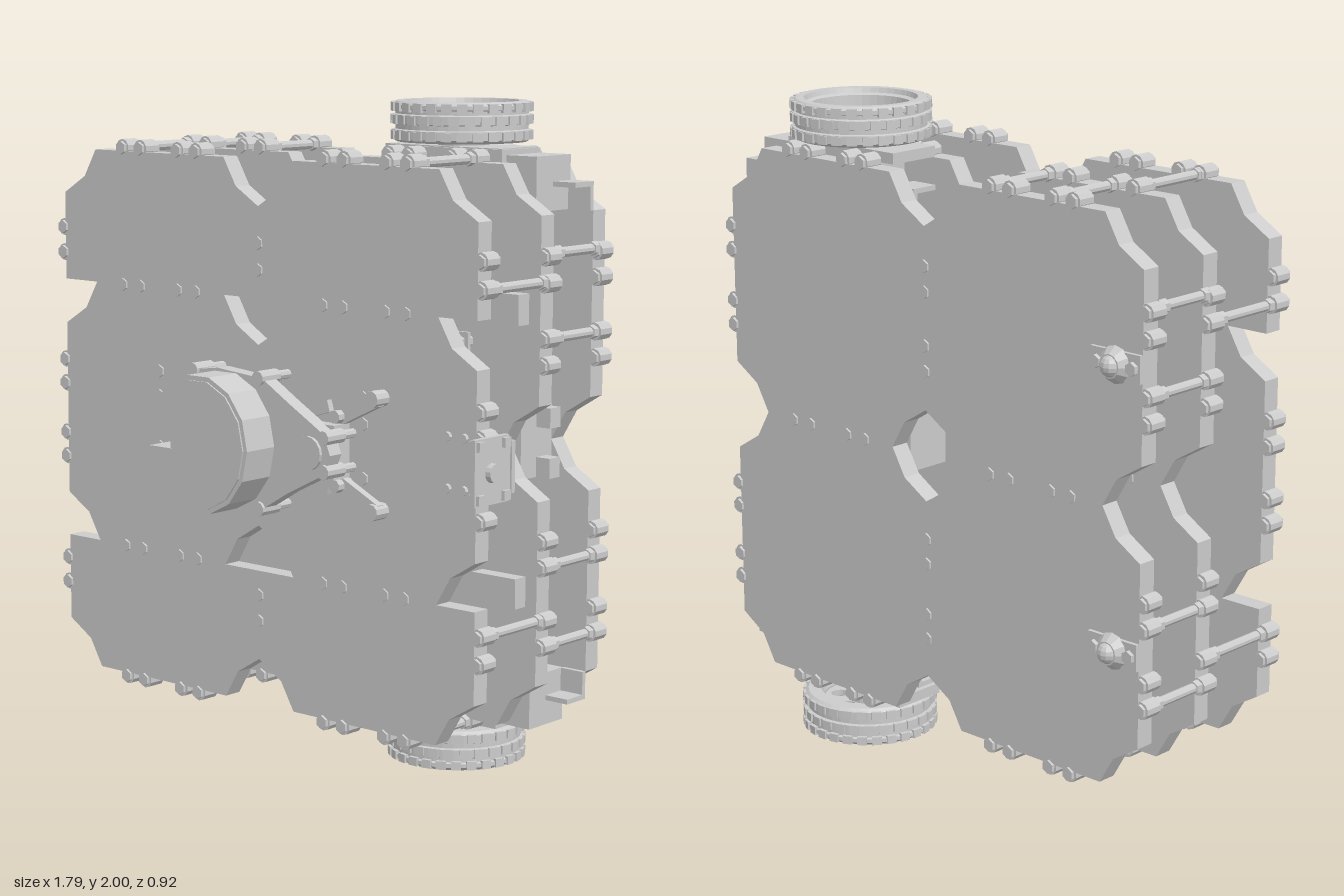
import * as THREE from 'three';

const mat = new THREE.MeshStandardMaterial({ color: 0xcccccc, flatShading: true, side: THREE.DoubleSide });
const CX = -0.03, CY = 1.0, T = 0.83;            // deck centre and tile size
const DECKS = { front: 0.14, middle: -0.15, back: -0.4 }, THICK = 0.06;

export function createModel() {
  const root = new THREE.Group();
  root.name = 'layeredRobot';

  const group = (name, parent = root) => {
    const g = new THREE.Group();
    g.name = name;
    parent.add(g);
    return g;
  };
  const add = (parent, name, geo, x = 0, y = 0, z = 0) => {
    const m = new THREE.Mesh(geo, mat);
    m.name = name;
    m.position.set(x, y, z);
    parent.add(m);
    return m;
  };
  // Box given by its extents
  const box = (parent, name, x0, x1, y0, y1, z0, z1) =>
    add(parent, name, new THREE.BoxGeometry(x1 - x0, y1 - y0, z1 - z0), (x0 + x1) / 2, (y0 + y1) / 2, (z0 + z1) / 2);
  // Cylinder along z between two depths
  const rod = (parent, name, x, y, z0, z1, r, sides = 12, r2 = r) =>
    add(parent, name, new THREE.CylinderGeometry(r2, r, z1 - z0, sides).rotateX(Math.PI / 2), x, y, (z0 + z1) / 2);
  // Outline extruded along z
  const slab = (parent, name, pts, z0, z1) =>
    add(parent, name, new THREE.ExtrudeGeometry(new THREE.Shape(pts.map(p => new THREE.Vector2(...p))),
      { depth: z1 - z0, bevelEnabled: false }), 0, 0, z0);

  // Deck tile: stepped corners, left square where a half tile was cut
  const tile = (parent, x0, x1, y0, y1, z, cutLow, cutHigh) => {
    const pts = [];
    const corner = (x, y, sx, sy, cut, flip) => {
      const c = cut ? [[x + sx * 0.14, y], [x + sx * 0.09, y + sy * 0.085], [x, y + sy * 0.14]] : [[x, y]];
      pts.push(...(flip ? c.reverse() : c));
    };
    corner(x0, y0, 1, 1, cutLow, true);
    corner(x1, y0, -1, 1, cutLow, false);
    corner(x1, y1, -1, -1, cutHigh, true);
    corner(x0, y1, 1, -1, cutHigh, false);
    slab(parent, 'deckTile', pts, z, z + THICK);
  };

  // Clamp joint on a deck edge or seam: round boss with hexagonal nuts
  const offsets = [-0.157, -0.08, 0.08, 0.157];
  const joint = (parent, x, y, z) => {
    rod(parent, 'edgeBoss', x, y, z + 0.002, z + THICK - 0.002, 0.027, 10);
    rod(parent, 'edgeNut', x, y, z - 0.008, z + THICK + 0.008, 0.021, 6);
  };
  const nut = (parent, x, y, z) => rod(parent, 'screwHead', x, y, z - 0.006, z + THICK + 0.006, 0.02, 6);

  const xL = CX - T - 0.008, xR = CX + T + 0.008, yB = CY - T - 0.01, yT = CY + T + 0.01;
  const tileX = [CX - T / 2, CX + T / 2];
  for (const [name, z] of Object.entries(DECKS)) {
    const deck = group(name + 'Deck');
    const isFront = name === 'front';
    // The front deck has a full middle row between two half rows
    const rows = isFront
      ? [[CY - T, CY - T / 2, true, false], [CY - T / 2, CY + T / 2, true, true], [CY + T / 2, CY + T, false, true]]
      : [[CY - T, CY, true, true], [CY, CY + T, true, true]];
    for (const [y0, y1, lo, hi] of rows)
      for (const cx of tileX) tile(deck, cx - T / 2, cx + T / 2, y0, y1, z, lo, hi);

    const edgeY = isFront
      ? [0.43, 0.51, ...offsets.map(o => CY + o), 1.5, 1.58]
      : [CY - T / 2, CY + T / 2].flatMap(c => offsets.map(o => c + o));
    for (const y of edgeY) {
      joint(deck, xL, y, z);
      joint(deck, xR, y, z);
      if (!isFront || Math.abs(y - CY) > 0.3) nut(deck, CX, y, z);
    }
    for (const cx of tileX) {
      for (const o of offsets) {
        joint(deck, cx + o, yB, z);
        joint(deck, cx + o, yT, z);
        for (const y of isFront ? [CY - T / 2, CY + T / 2] : [CY]) nut(deck, cx + o, y, z);
        if (isFront) nut(deck, cx, CY + o, z);
      }
    }
  }

  // Spacer posts between the decks
  const posts = group('spacerPosts');
  const post = (x, y, z0, z1) => {
    rod(posts, 'post', x, y, z0, z1, 0.015, 10);
    for (const z of [z0, z1 - 0.03]) rod(posts, 'postCollar', x, y, z, z + 0.03, 0.021, 6);
  };
  for (const x of [xL, xR]) {
    for (const y of [0.51, 1.5]) post(x, y, -0.1, 0.15);
    for (const y of [0.43, 0.667, 1.335, 1.58]) post(x, y, -0.35, -0.14);
  }
  for (const y of [yB, yT]) {
    for (const x of [-0.6, 0.542]) post(x, y, -0.1, 0.15);
    for (const x of [-0.525, -0.288]) post(x, y, -0.35, -0.14);
  }

  // Wheel and motor, built for the top and mirrored to the bottom
  const WX = 0.385, WZ = -0.245;
  const drive = (name, flip) => {
    const g = group(name);
    const wheel = group('wheel', g);
    wheel.position.set(WX, flip ? 0.06 : 1.94, WZ);
    if (flip) wheel.rotation.x = Math.PI;
    // Tyre with grooves and open rim
    const profile = [[0.155, -0.06], [0.195, -0.06], [0.207, -0.05], [0.207, -0.025], [0.198, -0.022], [0.198, -0.008],
      [0.207, -0.005], [0.207, 0.02], [0.198, 0.023], [0.198, 0.035], [0.207, 0.038], [0.207, 0.05], [0.195, 0.06],
      [0.17, 0.06], [0.165, 0.045], [0.15, 0.04], [0.145, -0.03], [0.155, -0.06]];
    add(wheel, 'tyre', new THREE.LatheGeometry(profile.map(p => new THREE.Vector2(...p)), 40));
    const teeth = 28;
    for (let row = 0; row < 3; row++) for (let i = 0; i < teeth; i++) {
      const a = (i + row * 0.5) / teeth * Math.PI * 2;
      const t = add(wheel, 'treadBlock', new THREE.BoxGeometry(0.012, 0.026, 0.03),
        Math.cos(a) * 0.206, [-0.04, 0.006, 0.043][row], Math.sin(a) * 0.206);
      t.rotation.y = -a;
    }
    // Rim disc with holes, ribs and hub
    const disc = new THREE.Shape().absarc(0, 0, 0.15, 0, Math.PI * 2);
    for (let i = 0; i < 6; i++) {
      const a = (i + 0.5) * Math.PI / 3;
      disc.holes.push(new THREE.Path().absarc(Math.cos(a) * 0.1, Math.sin(a) * 0.1, 0.027, 0, Math.PI * 2, true));
      const rib = add(wheel, 'rimRib', new THREE.BoxGeometry(0.1, 0.02, 0.016), Math.cos(i * Math.PI / 3) * 0.095, 0, Math.sin(i * Math.PI / 3) * 0.095);
      rib.rotation.y = -i * Math.PI / 3;
    }
    add(wheel, 'rimDisc', new THREE.ExtrudeGeometry(disc, { depth: 0.02, bevelEnabled: false, curveSegments: 14 })
      .rotateX(-Math.PI / 2), 0, -0.025, 0);
    add(wheel, 'hub', new THREE.CylinderGeometry(0.03, 0.035, 0.045, 12), 0, 0, 0);
    for (let i = 0; i < 4; i++)
      add(wheel, 'hubScrew', new THREE.CylinderGeometry(0.017, 0.017, 0.035, 8),
        Math.cos(i * Math.PI / 2) * 0.062, 0, Math.sin(i * Math.PI / 2) * 0.062);
    add(wheel, 'axleHorn', new THREE.CylinderGeometry(0.07, 0.07, 0.07, 20), 0, -0.055, 0);
    // Motor body and mounting brackets
    const span = (a, b) => flip ? [2 - b, 2 - a] : [a, b];
    box(g, 'motorBody', 0.3, 0.61, ...span(1.65, 1.865), -0.335, -0.15);
    box(g, 'motorCap', 0.61, 0.72, ...span(1.69, 1.85), -0.335, -0.17);
    box(g, 'motorMount', 0.16, 0.6, ...span(1.835, 1.868), -0.335, -0.16);
    for (const [x0, x1] of [[0.07, 0.16], [0.72, 0.8]]) {
      box(g, 'bracketTab', x0, x1, ...span(1.76, 1.775), -0.34, -0.25);
      box(g, 'bracketFoot', x0, x1, ...span(1.69, 1.775), -0.34, -0.325);
    }
  };
  drive('upperDrive', false);
  drive('lowerDrive', true);

  // Rotating scanner on its base
  const scanner = group('scanner');
  const LX = -0.035, LY = 1.005;
  slab(scanner, 'scannerBase', [[-0.19, 0.81], [-0.08, 0.795], [0.1, 0.81], [0.2, 0.87], [0.34, 0.94], [0.365, 1], [0.34, 1.06],
    [0.2, 1.14], [0.1, 1.2], [-0.08, 1.215], [-0.19, 1.2], [-0.235, 1.08], [-0.235, 0.93]], 0.275, 0.325);
  rod(scanner, 'turntable', LX, LY, 0.255, 0.34, 0.17, 24);
  const head = [];
  for (let i = -5; i <= 5; i++) head.push([LX + 0.195 * Math.cos(i * 0.45), LY + 0.208 * Math.sin(i * 0.45)]);
  head.push([-0.24, 1.1], [-0.24, 1.03], [-0.15, 1.03], [-0.15, 0.98], [-0.24, 0.98], [-0.24, 0.9]);
  slab(scanner, 'scannerHead', head, 0.338, 0.455);
  slab(scanner, 'headLip', head.map(([x, y]) => [LX + (x - LX) * 0.93, LY + (y - LY) * 0.93]), 0.325, 0.46);
  rod(scanner, 'drivePulley', 0.285, 1, 0.22, 0.335, 0.05, 16);
  box(scanner, 'scannerMotor', 0.2, 0.34, 0.92, 1.08, 0.21, 0.28);
  for (const [x, y] of [[-0.175, 1.2], [-0.175, 0.81], [0.09, 1.2], [0.09, 0.81], [0.345, 1.05], [0.345, 0.95]]) {
    rod(scanner, 'baseLug', x, y, 0.255, 0.335, 0.022, 10);
    rod(scanner, 'baseLeg', x, y, 0.2, 0.26, 0.014, 8);
  }
  for (const s of [-1, 1]) {
    const arm = group('supportArm', scanner);
    arm.position.set(0.355, 1 + s * 0.115, 0);
    arm.rotation.z = s * 0.45;
    box(arm, 'armPlate', -0.13, 0.12, -0.025, 0.025, 0.215, 0.24);
    rod(arm, 'armEnd', 0.115, 0, 0.2, 0.255, 0.025, 10);
    rod(arm, 'armScrew', -0.03, 0, 0.2, 0.265, 0.02, 8);
    const inner = box(scanner, 'armBrace', 0.11, 0.27, 1 + s * 0.1 - 0.018, 1 + s * 0.1 + 0.018, 0.2, 0.22);
    inner.rotation.z = s * 0.3;
  }

  // Side camera on an angled bracket
  const cam = group('camera');
  box(cam, 'bracketPlate', 0.68, 0.88, 0.93, 1.08, 0.125, 0.14);
  box(cam, 'bracketWall', 0.862, 0.874, 0.93, 1.08, 0.13, 0.2);
  box(cam, 'cameraBoard', 0.862, 0.878, 0.91, 1.1, 0.15, 0.305);
  rod(cam, 'lens', 0, 0, -0.02, 0.02, 0.028, 14).position.set(0.876, 1.0, 0.23);
  cam.children[3].rotation.y = Math.PI / 2;
  for (const y of [0.93, 1.08]) {
    for (const z of [0.17, 0.285]) box(cam, 'cameraScrew', 0.85, 0.89, y - 0.014, y + 0.014, z - 0.014, z + 0.014);
    for (const x of [0.7, 0.76]) rod(cam, 'bracketScrew', x, y, 0.115, 0.212, 0.014, 8);
  }

  // Ball casters on the back deck
  for (const y of [CY - T / 2, CY + T / 2]) {
    const c = group('ballCaster');
    box(c, 'casterPlate', -0.86, -0.68, y - 0.04, y + 0.04, -0.412, -0.4);
    rod(c, 'casterCup', -0.77, y, -0.437, -0.41, 0.035, 12, 0.055);
    add(c, 'ball', new THREE.SphereGeometry(0.032, 12, 8), -0.77, y, -0.428);
    for (const x of [-0.835, -0.705]) rod(c, 'casterScrew', x, y, -0.425, -0.405, 0.02, 6);
  }

  // Computer board with its sockets
  const pc = group('computerBoard');
  box(pc, 'board', -0.61, -0.24, 0.65, 1.21, -0.045, -0.033);
  for (const [x0, x1] of [[-0.58, -0.48], [-0.455, -0.365], [-0.335, -0.24]]) box(pc, 'socket', x0, x1, 0.645, 0.79, -0.035, 0.085);
  for (let i = 0; i < 18; i++) for (const x of [-0.595, -0.575]) box(pc, 'pin', x, x + 0.007, 0.84 + i * 0.02, 0.847 + i * 0.02, -0.035, 0.025);
  for (const x of [-0.59, -0.26]) for (const y of [0.67, 1.19]) rod(pc, 'boardPost', x, y, -0.1, -0.02, 0.018, 6);

  // Control board with chips and header pins
  const ctrl = group('controlBoard');
  box(ctrl, 'board', 0.08, 0.57, 0.66, 1.34, -0.062, -0.05);
  box(ctrl, 'chip', 0.27, 0.38, 0.95, 1.06, -0.05, -0.035);
  for (let i = 0; i < 14; i++) box(ctrl, 'headerBlock', 0.52, 0.55, 0.85 + i * 0.022, 0.862 + i * 0.022, -0.05, 0.0);
  for (const x of [0.11, 0.54]) for (const y of [0.69, 1.31]) rod(ctrl, 'boardPost', x, y, -0.1, -0.025, 0.02, 6);
  for (const y of [0.59, 1.42]) {
    box(ctrl, 'sensorBlock', 0.6, 0.76, y - 0.045, y + 0.045, -0.09, -0.04);
    box(ctrl, 'boardBracket', 0.04, 0.24, y - 0.03, y + 0.03, -0.09, -0.075);
  }

  // Battery held between the middle and back decks
  const battery = group('battery');
  box(battery, 'cellPack', 0.12, 0.68, 0.9, 1.115, -0.315, -0.165);
  for (const y of [0.8, 1.18]) box(battery, 'holder', 0.3, 0.6, y - 0.02, y + 0.02, -0.34, -0.31);
  for (const y of [0.93, 1.08]) box(battery, 'plug', 0.68, 0.73, y - 0.03, y + 0.03, -0.29, -0.24);

  return root;
}
